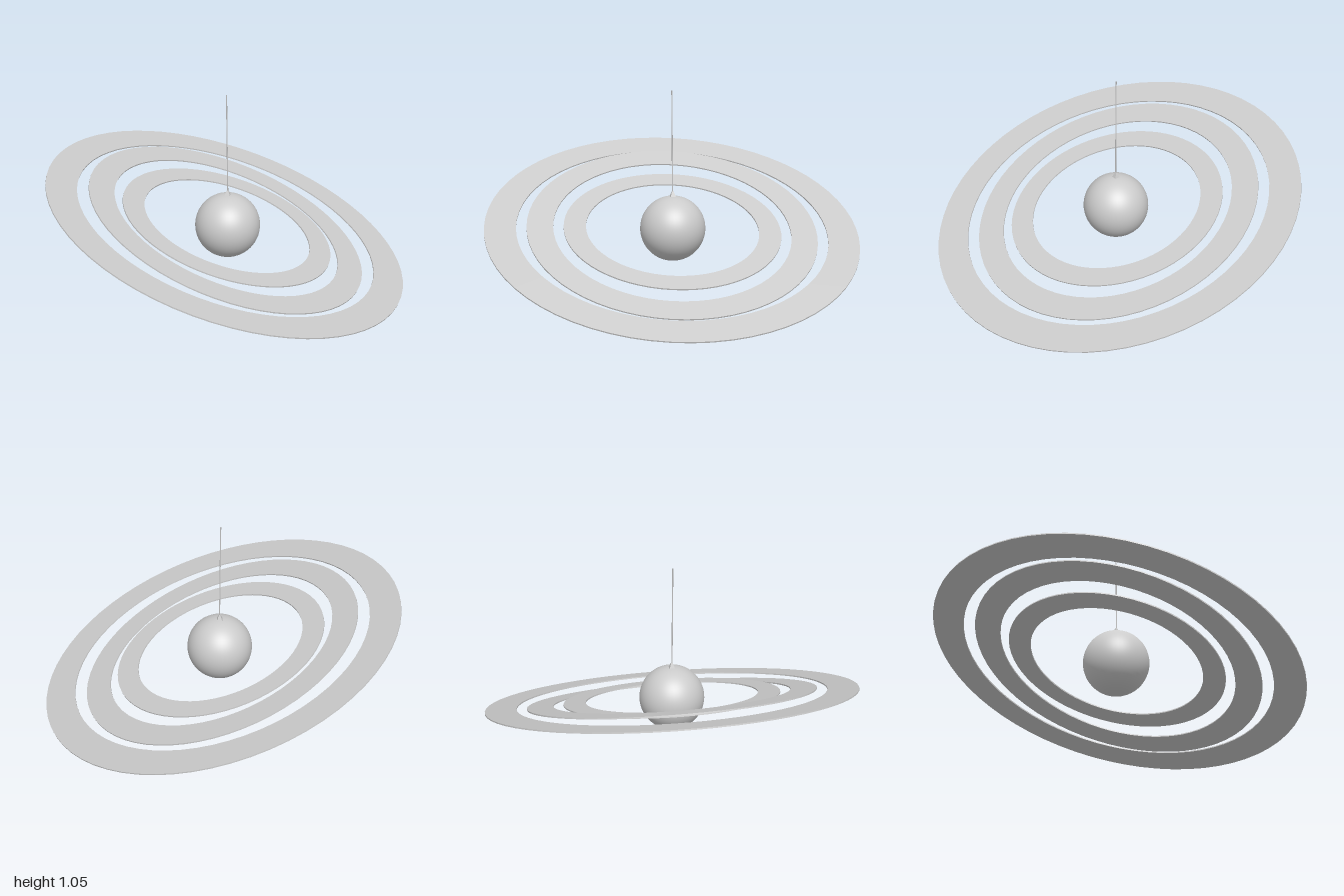
import * as THREE from 'three';

const CENTRE_Y = 0.317;

export function createModel() {
  const group = new THREE.Group();
  const grey = new THREE.MeshStandardMaterial({ color: 0xcccccc });
  const flatGrey = new THREE.MeshStandardMaterial({ color: 0xcccccc, flatShading: true });

  function add(name, geometry, material, y) {
    const mesh = new THREE.Mesh(geometry, material);
    mesh.name = name;
    mesh.position.y = y;
    group.add(mesh);
    return mesh;
  }

  // Flat band with a thin rectangular section, lying in the xz plane
  function ringGeometry(inner, outer, thickness) {
    const h = thickness / 2;
    const section = [[inner, -h], [outer, -h], [outer, h], [inner, h], [inner, -h]];
    return new THREE.LatheGeometry(section.map(([r, y]) => new THREE.Vector2(r, y)), 64);
  }

  // Central ball
  add('planetBall', new THREE.SphereGeometry(0.174, 48, 32), grey, CENTRE_Y);

  // Three nested rings, each with its own tilt
  const rings = [
    ['outerRing', 0.83, 0.997, 18],
    ['middleRing', 0.635, 0.775, 20.4],
    ['innerRing', 0.462, 0.58, 17.2],
  ];
  for (const [name, inner, outer, tilt] of rings) {
    const ring = add(name, ringGeometry(inner, outer, 0.007), flatGrey, CENTRE_Y);
    ring.rotation.z = -THREE.MathUtils.degToRad(tilt);
  }

  // Small four-sided cap where the cord meets the ball
  const cap = new THREE.CylinderGeometry(0.006, 0.024, 0.035, 4);
  cap.rotateY(Math.PI / 4);
  add('cordCap', cap, flatGrey, 0.5);

  // Thin hanging cord, leaning very slightly
  const cordPath = new THREE.LineCurve3(
    new THREE.Vector3(0.001, 0.49, 0.001),
    new THREE.Vector3(-0.005, 1.055, 0.004)
  );
  add('hangingCord', new THREE.TubeGeometry(cordPath, 4, 0.0032, 6), grey, 0);

  return group;
}
